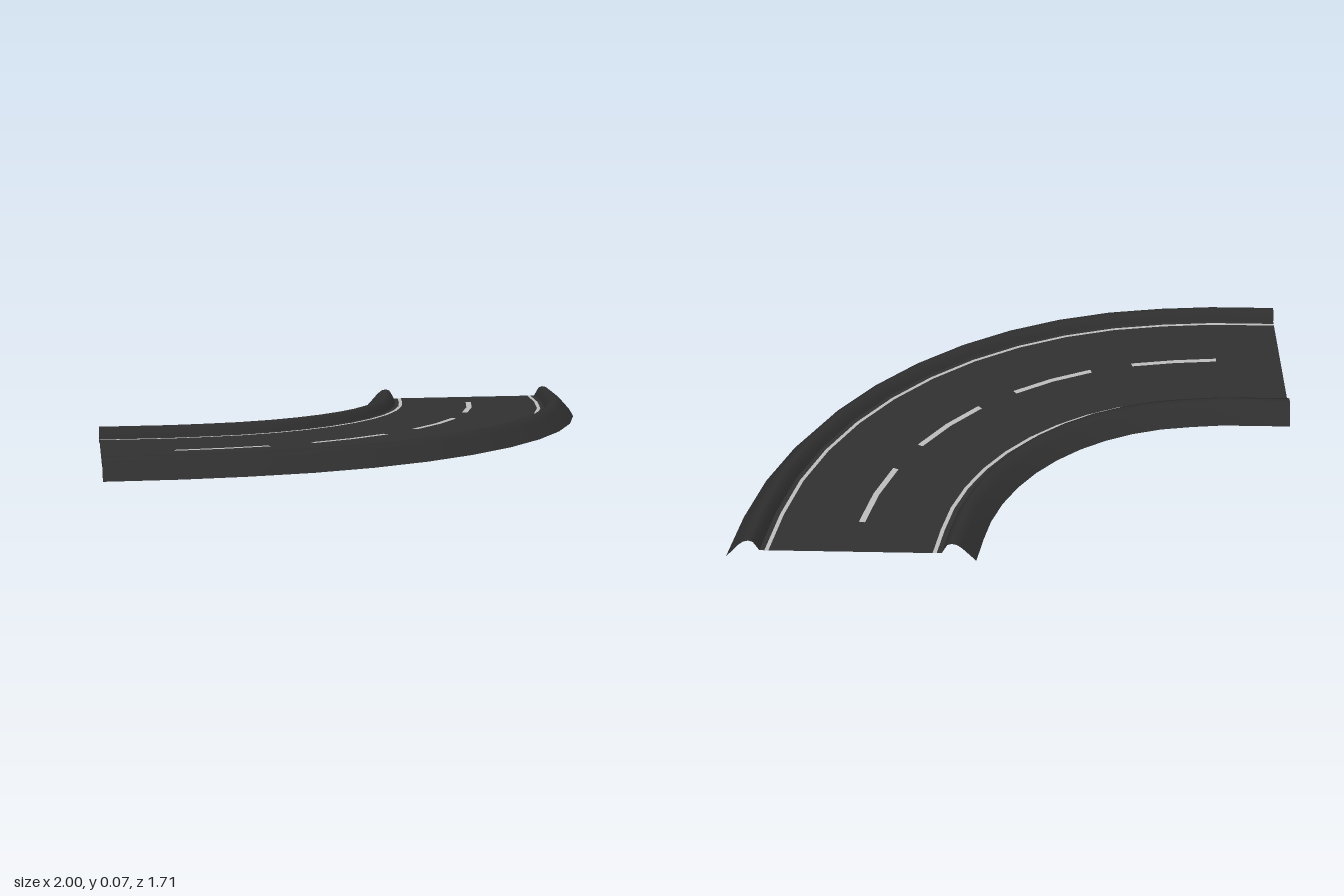
import * as THREE from 'three';

// Road path: a quarter bend of short straight pieces, then a straight run to -x
const CX = -0.71, CZ = -0.855, R = 1.283;
const STEP = THREE.MathUtils.degToRad(7.63);
const LAST = 13;
const ROAD_Y = 0.03;

// Point on path row i, offset d outward from the centre line, at height y
function pathPoint(i, d, y) {
  if (i >= 12) return [i === 12 ? -0.745 : -1, y, CZ + R + d];
  const r = R + d - (i > 0 ? 0.01 : 0);
  return [CX + r * Math.cos(i * STEP), y, CZ + r * Math.sin(i * STEP)];
}

// Sweep a [d, y] profile (d increasing) along path rows from..to
function sweep(profile, from, to) {
  const pos = [], idx = [], n = profile.length;
  for (let i = from; i <= to; i++) {
    for (const [d, y] of profile) pos.push(...pathPoint(i, d, y));
  }
  for (let i = 0; i < to - from; i++) {
    for (let j = 0; j < n - 1; j++) {
      const a = i * n + j, b = a + n;
      idx.push(a, b, a + 1, a + 1, b, b + 1);
    }
  }
  const geo = new THREE.BufferGeometry();
  geo.setAttribute('position', new THREE.Float32BufferAttribute(pos, 3));
  geo.setIndex(idx);
  geo.computeVertexNormals();
  return geo;
}

export function createModel() {
  const group = new THREE.Group();
  const material = (color) => new THREE.MeshStandardMaterial({ color, side: THREE.DoubleSide });
  const asphalt = material(0x303030);
  const shoulder = material(0x2e2e2e);
  const paint = material(0xbbbbbb);

  const add = (name, profile, mat, from = 0, to = LAST) => {
    const mesh = new THREE.Mesh(sweep(profile, from, to), mat);
    mesh.name = name;
    group.add(mesh);
  };
  const strip = (d0, d1) => [[d0, ROAD_Y], [d1, ROAD_Y]];

  const DASH = 0.011, LINE_IN = 0.279, LINE_OUT = 0.293, FOOT = 0.31;

  // Raised bank: from the road edge over a rounded crest down to the ground
  const bank = [
    [FOOT, ROAD_Y], [0.318, 0.045], [0.33, 0.065], [0.345, 0.07],
    [0.362, 0.066], [0.38, 0.052], [0.427, 0],
  ];

  // Lanes, edge lines and banks, mirrored about the centre line
  for (const [side, s] of [['outer', 1], ['inner', -1]]) {
    const flip = (p) => (s > 0 ? p : p.map(([d, y]) => [-d, y]).reverse());
    add(side + 'Lane', flip(strip(DASH, LINE_IN)), asphalt);
    add(side + 'EdgeLine', flip(strip(LINE_IN, LINE_OUT)), paint);
    add(side + 'RoadEdge', flip(strip(LINE_OUT, FOOT)), asphalt);
    add(side + 'Bank', flip(bank), shoulder);
  }

  // Centre strip: painted dashes two pieces long, with one-piece gaps
  const centre = strip(-DASH, DASH);
  for (let i = 0; i < LAST; i += 3) {
    add('centreGap', centre, asphalt, i, i + 1);
    if (i + 3 <= LAST) add('centreDash', centre, paint, i + 1, i + 3);
  }
  return group;
}
